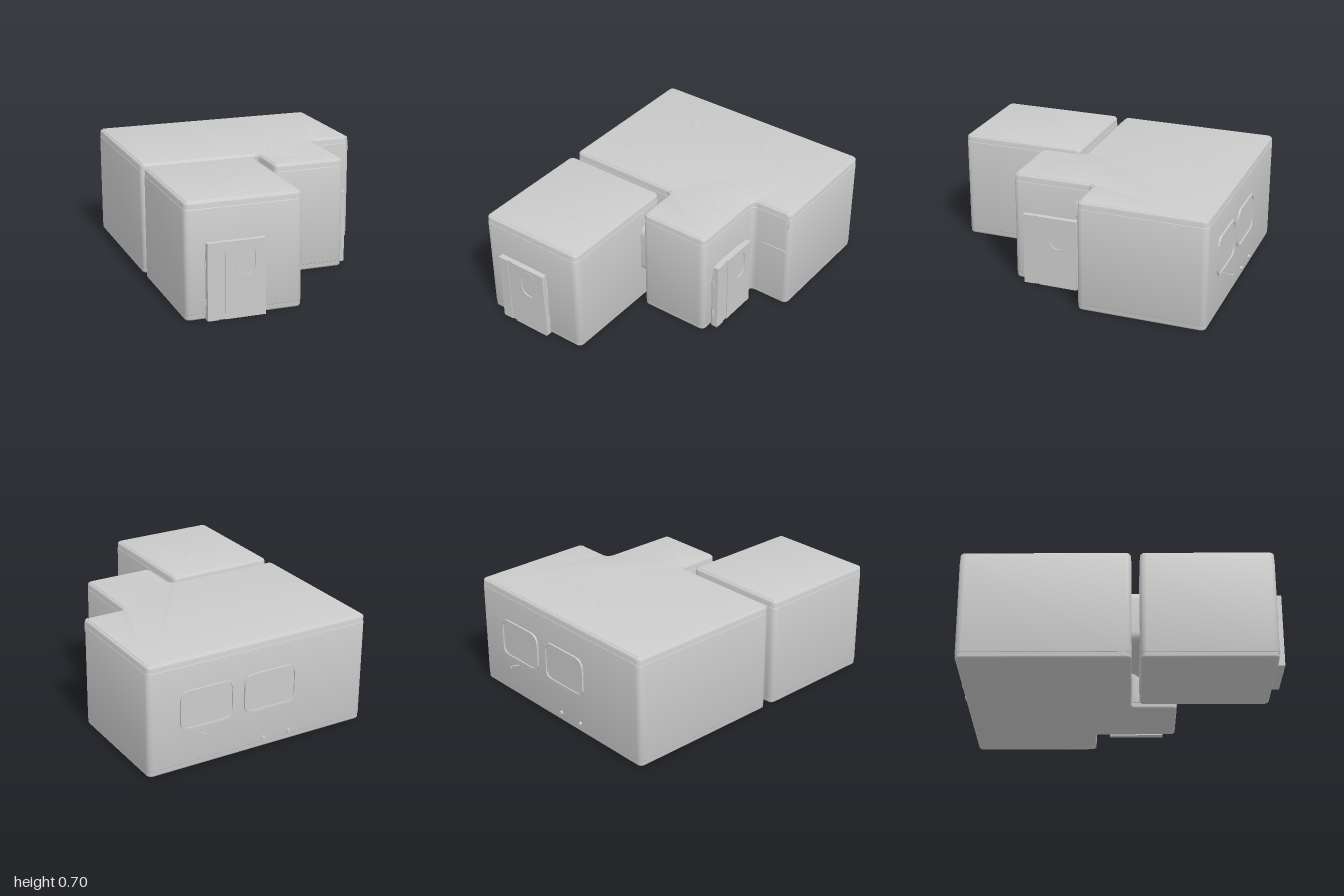
import * as THREE from 'three';
import { toCreasedNormals } from 'three/addons/utils/BufferGeometryUtils.js';

const grey = new THREE.MeshStandardMaterial({ color: 0xcccccc });

function add(parent, name, geometry, x = 0, y = 0, z = 0) {
  const mesh = new THREE.Mesh(geometry, grey);
  mesh.name = name;
  mesh.position.set(x, y, z);
  parent.add(mesh);
  return mesh;
}

// Closed outline through the points, each corner rounded by its radius
function rounded(points, r, target = new THREE.Shape()) {
  const n = points.length;
  const v = points.map(p => new THREE.Vector2(p[0], p[1]));
  v.forEach((p, i) => {
    const rad = points[i][2] ?? r;
    const a = v[(i + n - 1) % n].clone().sub(p).setLength(rad || 1e-4).add(p);
    const b = v[(i + 1) % n].clone().sub(p).setLength(rad || 1e-4).add(p);
    if (i === 0) target.moveTo(a.x, a.y); else target.lineTo(a.x, a.y);
    const k = 0.552; // circular corner
    const c1 = a.clone().lerp(p, k), c2 = b.clone().lerp(p, k);
    target.bezierCurveTo(c1.x, c1.y, c2.x, c2.y, b.x, b.y);
  });
  target.closePath();
  return target;
}

const rect = (x0, y0, x1, y1) => [[x0, y0], [x1, y0], [x1, y1], [x0, y1]];

function extrude(shape, depth, bevel = 0, offset = -bevel) {
  const g = new THREE.ExtrudeGeometry(shape, {
    depth: depth - 2 * bevel, curveSegments: 8, bevelEnabled: bevel > 0 || offset !== 0,
    bevelSize: bevel, bevelThickness: bevel, bevelOffset: offset, bevelSegments: 3
  });
  g.translate(0, 0, bevel);
  return toCreasedNormals(g, 0.6);
}

// Ring-shaped plate between two rounded rectangles
function ring(w, h, r, t, depth) {
  const s = rounded(rect(-w / 2, -h / 2, w / 2, h / 2), r);
  s.holes.push(rounded(rect(-w / 2 + t, -h / 2 + t, w / 2 - t, h / 2 - t), r - t, new THREE.Path()));
  return extrude(s, depth);
}

// Room shell: rounded plan with proud wall band and inset roof panel
function room(name, plan, lights) {
  const group = new THREE.Group();
  group.name = name;
  const shape = rounded(plan.map(([x, z]) => [x, -z]), 0.035);
  const layer = (label, y, h, bevel, offset) => {
    const g = extrude(shape, h, bevel, offset);
    g.rotateX(-Math.PI / 2);
    add(group, label, g, 0, y, 0);
  };
  layer('shell', 0, 0.695, 0.012, -0.014);
  layer('wallBand', 0.035, 0.62, 0.003, -0.003);
  layer('roofPanel', 0.685, 0.0145, 0.004, -0.02);
  for (const [x, z] of lights) {
    const g = new THREE.TorusGeometry(0.038, 0.0015, 6, 28);
    g.rotateX(Math.PI / 2);
    add(group, 'ceilingLightRim', g, x, 0.699, z);
  }
  return group;
}

// Doorway facing +z, origin at the foot of the wall
function doorway(name) {
  const group = new THREE.Group();
  group.name = name;
  const W = 0.35, H = 0.46;
  // arched frame on the wall
  const arch = rounded([[-W / 2, 0, 0], [W / 2, 0, 0], [W / 2, 0.455, 0.07], [-W / 2, 0.455, 0.07]], 0);
  add(group, 'doorArch', extrude(arch, 0.016, 0.004), 0, 0, -0.004);
  // sliding leaf: narrow panel beside a wide panel
  add(group, 'doorLeaf', new THREE.BoxGeometry(W, H, 0.028), 0, H / 2, 0.024);
  add(group, 'doorNarrowPanel', new THREE.BoxGeometry(0.068, H, 0.007), -0.141, H / 2, 0.0405);
  const panel = rounded(rect(-0.07, 0, W / 2, H), 0);
  panel.holes.push(rounded(rect(-0.005, 0.255, 0.115, 0.435), 0.058, new THREE.Path()));
  add(group, 'doorWidePanel', extrude(panel, 0.007), 0, 0, 0.037);
  const rim = ring(0.13, 0.19, 0.063, 0.008, 0.007);
  add(group, 'doorWindowRim', rim, 0.055, 0.345, 0.038);
  // hinges
  for (const s of [-1, 1]) for (const y of [0.1, 0.33]) {
    for (const dy of [-0.012, 0.012]) {
      add(group, 'hinge', new THREE.CylinderGeometry(0.007, 0.007, 0.021, 12), s * W / 2, y + dy, 0.012);
    }
  }
  return group;
}

// Window facing -z on the back wall
function backWindow(x) {
  const group = new THREE.Group();
  group.name = 'backWindow';
  add(group, 'windowFrame', ring(0.36, 0.25, 0.06, 0.014, 0.018));
  add(group, 'windowPane', extrude(rounded(rect(-0.17, -0.115, 0.17, 0.115), 0.05), 0.01));
  for (const s of [-1, 1]) for (const t of [-1, 1]) {
    const g = new THREE.CylinderGeometry(0.005, 0.005, 0.02, 10);
    g.rotateX(Math.PI / 2);
    add(group, 'windowBolt', g, s * 0.16, t * 0.105, 0.01);
  }
  group.rotation.y = Math.PI;
  group.position.set(x, 0.375, -0.924);
  return group;
}

export function createModel() {
  const model = new THREE.Group();
  model.name = 'modularRooms';

  // Main room with forward wing, and separate front room
  model.add(room('mainRoom', [
    [-0.75, 0.1], [0.01, 0.1], [0.01, 0.39], [0.47, 0.39],
    [0.47, -0.13], [0.745, -0.13], [0.745, -0.93], [-0.75, -0.93]
  ], [[-0.3, -0.62], [-0.08, -0.62], [0.17, -0.62], [0.39, -0.62], [-0.54, -0.14], [-0.32, -0.14],
    [0.13, 0.06], [0.34, 0.06], [0.13, 0.25], [0.34, 0.25]]));
  model.add(room('frontRoom', [[-0.75, 0.96], [-0.04, 0.96], [-0.04, 0.15], [-0.75, 0.15]],
    [[-0.51, 0.52], [-0.3, 0.52], [-0.51, 0.7], [-0.3, 0.7]]));

  // Rounded connectors bridging the gap between the rooms
  const sideLink = extrude(rounded(rect(-0.35, 0.21, -0.11, 0.55), 0.06), 0.08);
  sideLink.rotateY(Math.PI / 2);
  add(model, 'sideConnector', sideLink, -0.055, 0, 0);
  add(model, 'rearConnector', extrude(rounded(rect(-0.53, 0.21, 0, 0.55), 0.06), 0.08), 0, 0, 0.085);

  // Doorways
  const front = doorway('frontDoor');
  front.position.set(-0.455, 0, 0.955);
  const side = doorway('sideDoor');
  side.rotation.y = Math.PI / 2;
  side.position.set(0.475, 0, 0.135);
  model.add(front, side);

  // Back wall: windows, bent hook and pegs
  for (const x of [0.36, -0.07]) model.add(backWindow(x));
  const hook = new THREE.CatmullRomCurve3([
    [0.385, -0.925], [0.392, -0.945], [0.405, -0.968], [0.398, -0.985], [0.385, -0.998]
  ].map(([x, z]) => new THREE.Vector3(x, 0.22, z)));
  add(model, 'hook', new THREE.TubeGeometry(hook, 20, 0.003, 8));
  for (const x of [-0.03, -0.21]) {
    const g = new THREE.CylinderGeometry(0.012, 0.012, 0.02, 16);
    g.rotateX(Math.PI / 2);
    add(model, 'peg', g, x, 0.06, -0.934);
  }

  // Recessed front wall: rail and corner pipe
  add(model, 'rail', extrude(rounded(rect(0.54, 0.4, 0.72, 0.414), 0.006), 0.01), 0, 0, -0.134);
  const pipe = new THREE.CatmullRomCurve3([
    [0.712, 0.69], [0.726, 0.68], [0.73, 0.65], [0.73, 0.61], [0.72, 0.59]
  ].map(([x, y]) => new THREE.Vector3(x, y, -0.129)));
  add(model, 'cornerPipe', new THREE.TubeGeometry(pipe, 20, 0.004, 8));
  return model;
}
